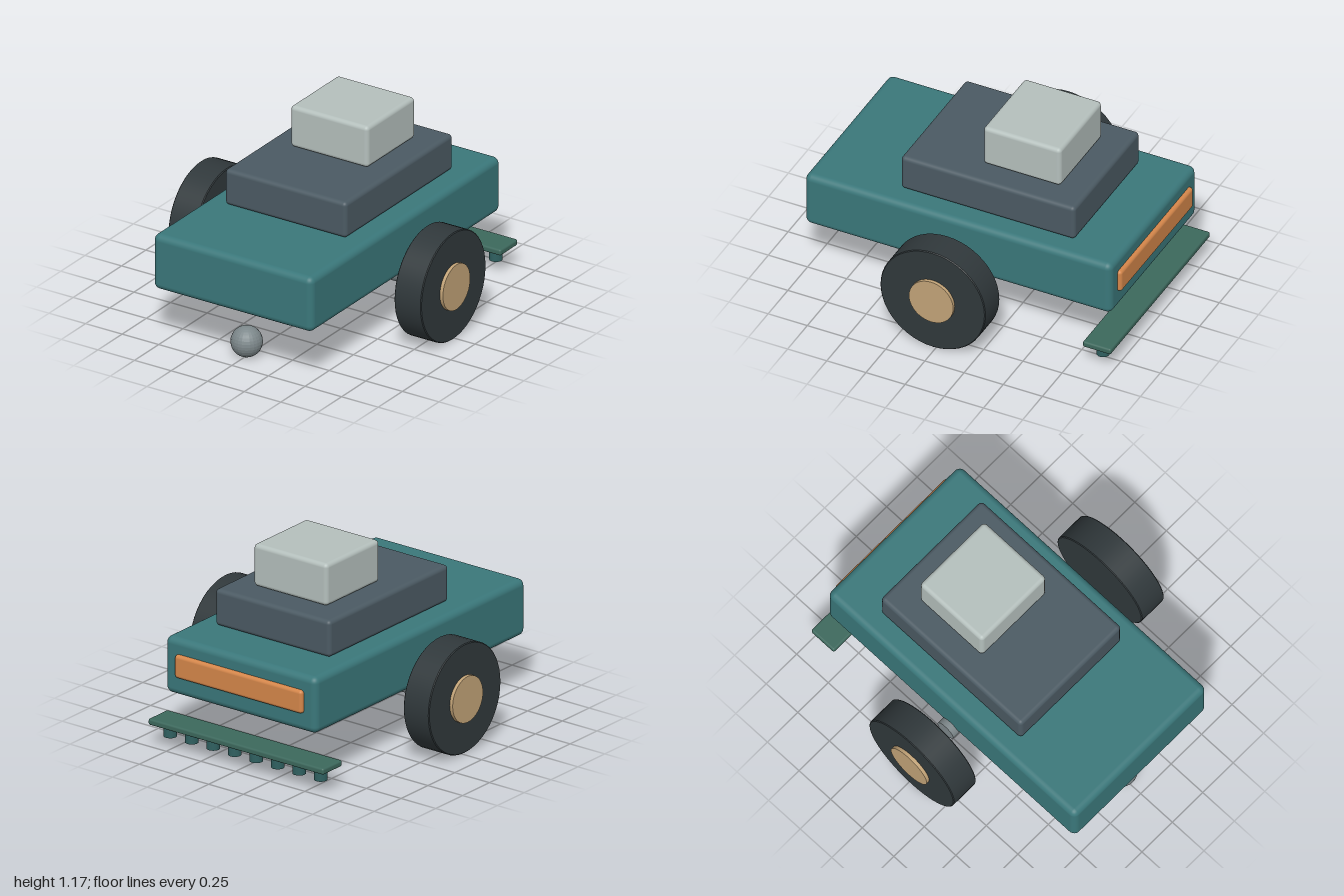
import * as THREE from 'three';
import { RoundedBoxGeometry } from 'three/addons/geometries/RoundedBoxGeometry.js';

const mat = (color, flatShading = false) => new THREE.MeshStandardMaterial({ color, flatShading });

export function createModel() {
  const model = new THREE.Group();
  const teal = mat(0x3a777a), slate = mat(0x4b5a63), pale = mat(0xb4bfbc), orange = mat(0xd4864a);
  const rubber = mat(0x30383b), tan = mat(0xc2a377), metal = mat(0x7d878a);
  const green = mat(0x3c685c), pegGreen = mat(0x2f6060), ballGrey = mat(0x7d888b, true);

  const add = (name, geometry, material, x, y, z, parent = model) => {
    const mesh = new THREE.Mesh(geometry, material);
    mesh.name = name;
    mesh.position.set(x, y, z);
    parent.add(mesh);
    return mesh;
  };
  // Rounded box given by its half width and its y and z extents
  const block = (name, material, hx, y0, y1, z0, z1, r) =>
    add(name, new RoundedBoxGeometry(hx * 2, y1 - y0, z1 - z0, 4, r), material, 0, (y0 + y1) / 2, (z0 + z1) / 2);
  // Cylinder lying along x
  const disc = (radius, length, sides) => new THREE.CylinderGeometry(radius, radius, length, sides).rotateZ(Math.PI / 2);

  // Stacked body
  block('body', teal, 0.545, 0.34, 0.686, -0.957, 1, 0.04);
  block('deck', slate, 0.415, 0.688, 0.912, -0.66, 0.45, 0.025);
  block('turret', pale, 0.266, 0.914, 1.172, -0.495, 0, 0.025);
  block('rearPanel', orange, 0.46, 0.454, 0.596, -0.981, -0.93, 0.02);

  // Axle and the pair of wheels with hubs
  add('axle', disc(0.0625, 1.17, 32), metal, 0, 0.337, 0.018);
  for (const [side, s] of [['left', 1], ['right', -1]]) {
    const wheel = new THREE.Group();
    wheel.name = side + 'Wheel';
    wheel.position.set(s * 0.773, 0.337, 0.018);
    model.add(wheel);
    // Tyre with slightly softened rims
    const profile = [[0, -0.092], [0.33, -0.092], [0.33, -0.092], [0.335, -0.087], [0.335, -0.087],
      [0.335, 0.087], [0.335, 0.087], [0.33, 0.092], [0.33, 0.092], [0, 0.092]];
    const tyre = new THREE.LatheGeometry(profile.map(([r, h]) => new THREE.Vector2(r, h)), 48).rotateZ(Math.PI / 2);
    add('tyre', tyre, rubber, 0, 0, 0, wheel);
    add('hub', disc(0.141, 0.04, 40), tan, s * 0.093, 0, 0, wheel);
  }

  // Rear sensor bar with a row of pegs underneath
  block('sensorBar', green, 0.632, 0.13, 0.168, -1, -0.82, 0.012);
  const peg = new THREE.CylinderGeometry(0.039, 0.039, 0.085, 20);
  for (let i = 0; i < 8; i++) add('sensor' + (i + 1), peg, pegGreen, (i - 3.5) * 0.155, 0.0975, -0.907);

  // Ball caster under the front
  add('casterBall', new THREE.SphereGeometry(0.093, 24, 16), ballGrey, 0, 0.093, 0.847);

  return model;
}
